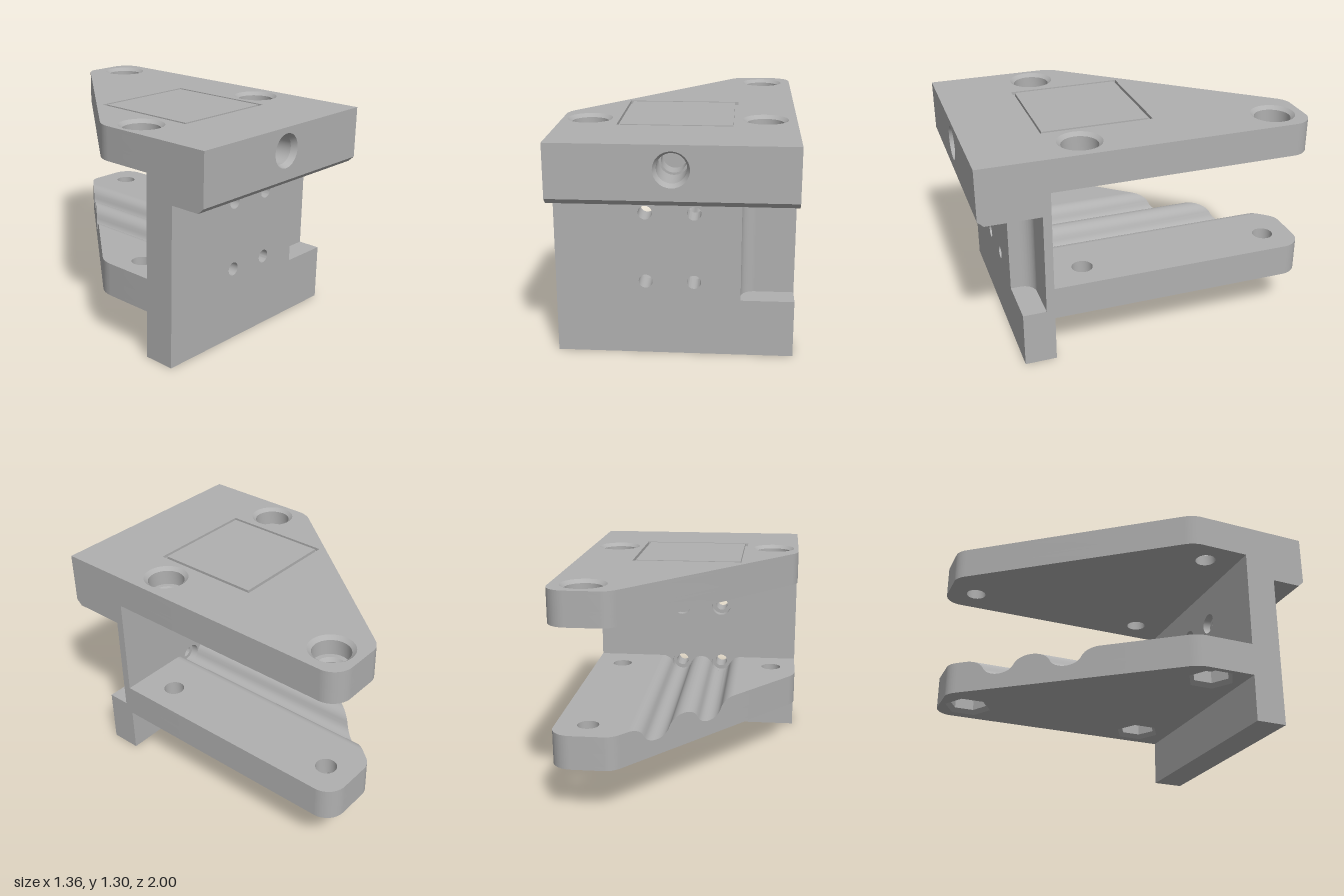
import * as THREE from 'three';
import { toCreasedNormals } from 'three/addons/utils/BufferGeometryUtils.js';

const grey = new THREE.MeshStandardMaterial({ color: 0xb0b0b0, side: THREE.DoubleSide });
grey.name = 'grey';

// Screw positions as [x, -z]
const BOLTS = [[-0.52, -0.39], [0.50, -0.37], [0.49, 0.82]];
// Wire grooves and the matching holes in the upright
const GROOVES_X = [-0.165, 0.11];
const PITCH = 0.275;
const STRIP = [GROOVES_X[0] - PITCH / 2, GROOVES_X[1] + PITCH / 2];
const slope = x => -0.18 + 1.2283 * (x + 0.64); // diagonal edge, gives -z

function add(group, name, geometry) {
  const mesh = new THREE.Mesh(toCreasedNormals(geometry, 0.6), grey);
  mesh.name = name;
  group.add(mesh);
  return mesh;
}

const circle = (x, y, r) => new THREE.Path().absarc(x, y, r, 0, Math.PI * 2, true);

function hexagon(x, y, r) {
  const pts = [];
  for (let i = 0; i < 6; i++) {
    const a = Math.PI / 2 + i * Math.PI / 3;
    pts.push(new THREE.Vector2(x + r * Math.cos(a), y + r * Math.sin(a)));
  }
  return new THREE.Path(pts);
}

function polygon(...pts) {
  return new THREE.Shape(pts.map(p => new THREE.Vector2(p[0], p[1])));
}
const rect = (x0, y0, x1, y1) => polygon([x0, y0], [x1, y0], [x1, y1], [x0, y1]);

function extrude(shape, depth) {
  return new THREE.ExtrudeGeometry(shape, { depth, bevelEnabled: false, curveSegments: 16 });
}
// Horizontal layer between two heights; shape y is -z
function flatLayer(shape, y0, y1) {
  return extrude(shape, y1 - y0).rotateX(-Math.PI / 2).translate(0, y0, 0);
}
// Upright layer between two depths
function uprightLayer(shape, z0, z1) {
  return extrude(shape, z1 - z0).translate(0, 0, z0);
}

// Plan outlines of the plates
function rightEnd(s) {
  return s.lineTo(0.68, -0.59).lineTo(0.68, 0.88)
    .absarc(0.56, 0.88, 0.12, 0, Math.PI / 2, false)
    .lineTo(0.37, 1).quadraticCurveTo(0.32, 1, 0.28, 0.95);
}
function leftEnd(s) {
  return s.lineTo(-0.64, -0.18).quadraticCurveTo(-0.68, -0.23, -0.68, -0.29);
}
const fullPlan = () => leftEnd(rightEnd(new THREE.Shape().moveTo(-0.68, -0.59)));
const leftPlan = () => leftEnd(new THREE.Shape().moveTo(-0.68, -0.59)
  .lineTo(STRIP[0], -0.59).lineTo(STRIP[0], slope(STRIP[0])));
const rightPlan = () => rightEnd(new THREE.Shape().moveTo(STRIP[1], -0.59))
  .lineTo(STRIP[1], slope(STRIP[1]));

function cone(group, name, rTop, rBottom, y0, y1, x, v, sides = 32) {
  add(group, name, new THREE.CylinderGeometry(rTop, rBottom, y1 - y0, sides, 1, true)
    .translate(x, (y0 + y1) / 2, -v));
}

function topPlate() {
  const g = new THREE.Group();
  g.name = 'topPlate';
  // Layers from bottom to top: bore, bore chamfer, counterbore, rim
  const layers = [[1.10, 1.17, 0.063], [1.17, 1.19, 0.08], [1.19, 1.28, 0.108], [1.28, 1.30, 0.132]];
  layers.forEach(([y0, y1, r], i) => {
    const shape = fullPlan();
    for (const [x, v] of BOLTS) shape.holes.push(circle(x, v, r));
    if (i === 3) shape.holes.push(rect(-0.345, -0.56, 0.335, 0.125));
    add(g, 'topPlateLayer', flatLayer(shape, y0, y1));
  });
  add(g, 'squarePanel', flatLayer(rect(-0.325, -0.54, 0.315, 0.105), 1.28, 1.30));
  for (const [x, v] of BOLTS) {
    cone(g, 'rimChamfer', 0.132, 0.108, 1.28, 1.30, x, v);
    cone(g, 'boreChamfer', 0.08, 0.063, 1.17, 1.19, x, v);
  }
  return g;
}

function lowerPlate() {
  const g = new THREE.Group();
  g.name = 'lowerPlate';
  // Flat sides with nut pockets underneath
  for (const [plan, bolts] of [[leftPlan, BOLTS.slice(0, 1)], [rightPlan, BOLTS.slice(1)]]) {
    const layers = [[0.285, 0.31, hexagon, 0.145], [0.31, 0.385, hexagon, 0.118], [0.385, 0.485, circle, 0.063]];
    for (const [y0, y1, hole, r] of layers) {
      const shape = plan();
      for (const [x, v] of bolts) shape.holes.push(hole(x, v, r));
      add(g, 'lowerPlateLayer', flatLayer(shape, y0, y1));
    }
    for (const [x, v] of bolts) cone(g, 'nutPocketChamfer', 0.118, 0.145, 0.285, 0.31, x, v, 6);
  }
  // Grooved strip: tangent arcs, concave at the bottom and convex at the ridges
  const a = 0.065, b = 0.0775;
  const profile = [[STRIP[0], 0.285]];
  const steps = 64;
  for (let i = 0; i <= steps; i++) {
    const x = STRIP[0] + (STRIP[1] - STRIP[0]) * i / steps;
    const d = Math.min(...GROOVES_X.map(c => Math.abs(x - c)));
    const e = PITCH / 2 - d;
    profile.push([x, d < 0.0627 ? 0.445 - Math.sqrt(a * a - d * d) : 0.485 - b + Math.sqrt(b * b - e * e)]);
  }
  profile.push([STRIP[1], 0.285]);
  const strip = extrude(polygon(...profile), 1);
  // Cut the back end along the diagonal edge
  const p = strip.attributes.position;
  for (let i = 0; i < p.count; i++) p.setZ(i, p.getZ(i) > 0.5 ? 0.59 : -slope(p.getX(i)));
  add(g, 'groovedStrip', strip);
  return g;
}

function frontBlock() {
  const g = new THREE.Group();
  g.name = 'frontBlock';
  const y = 1.165;
  // Blind hole: floor, narrow bore, wide bore, rim
  const layers = [[0.59, 0.70, 0], [0.70, 0.80, 0.07], [0.80, 0.965, 0.083], [0.965, 1, 0.1]];
  for (const [z0, z1, r] of layers) {
    const shape = rect(-0.68, 0.96, 0.68, 1.30);
    if (r) shape.holes.push(circle(0, y, r));
    const geo = uprightLayer(shape, z0, z1);
    // Chamfer along the lower front edge
    const p = geo.attributes.position;
    for (let i = 0; i < p.count; i++) {
      if (p.getZ(i) > 0.99 && p.getY(i) < 0.97) p.setY(i, 0.993);
    }
    add(g, 'blockLayer', geo);
  }
  add(g, 'holeChamfer', new THREE.CylinderGeometry(0.1, 0.083, 0.035, 32, 1, true)
    .rotateX(Math.PI / 2).translate(0, y, 0.9825));
  return g;
}

function upright() {
  const g = new THREE.Group();
  g.name = 'upright';
  const back = rect(-0.68, 0, 0.68, 0.96);
  const front = polygon([-0.68, 0], [0.68, 0], [0.68, 0.34], [0.375, 0.34], [0.375, 0.96], [-0.68, 0.96]);
  for (const x of GROOVES_X) {
    for (const y of [0.445, 0.855]) {
      back.holes.push(circle(x, y, 0.065));
      front.holes.push(circle(x, y, 0.04));
    }
  }
  add(g, 'uprightBack', uprightLayer(back, 0.59, 0.64));
  add(g, 'uprightFront', uprightLayer(front, 0.64, 0.78));
  // Concave fillet in the corner recess
  const fillet = new THREE.Shape().moveTo(0.375, -0.64).lineTo(0.375, -0.72)
    .absarc(0.455, -0.72, 0.08, Math.PI, Math.PI / 2, true);
  add(g, 'recessFillet', flatLayer(fillet, 0.34, 0.96));
  return g;
}

export function createModel() {
  const model = new THREE.Group();
  model.name = 'bracket';
  model.add(topPlate(), lowerPlate(), frontBlock(), upright());
  return model;
}
